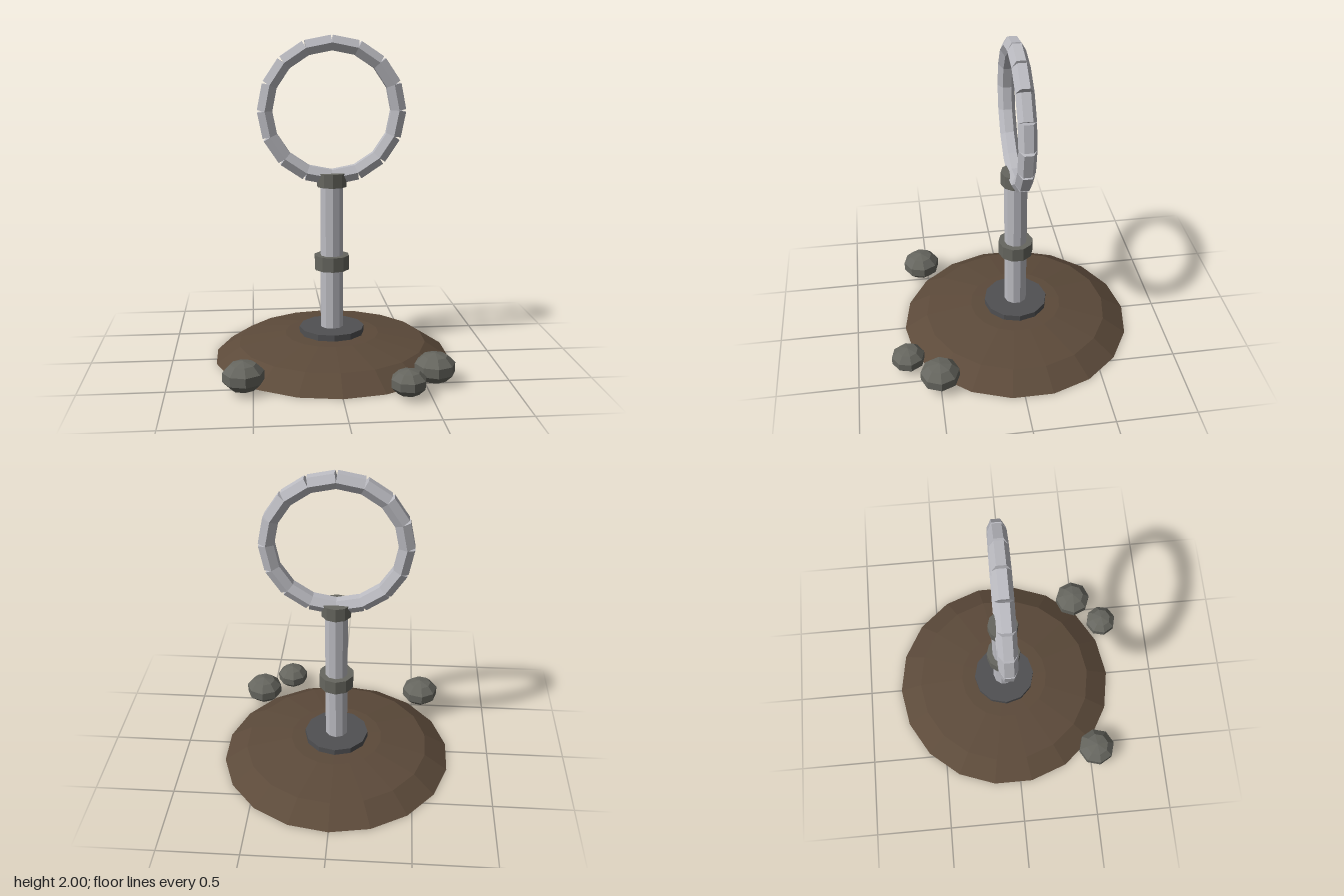
import * as THREE from 'three';

const mat = (name, color) => {
  const m = new THREE.MeshStandardMaterial({ color, flatShading: true });
  m.name = name;
  return m;
};

export function createModel() {
  const model = new THREE.Group();
  model.name = 'ringOnPost';
  const soil = mat('soil brown', 0x5c4a3a);
  const silver = mat('pale silver', 0xbcbcc2);
  const stone = mat('stone grey', 0x66665f);
  const iron = mat('dark iron', 0x505052);

  const add = (name, geometry, material, x, y, z, parent = model) => {
    const mesh = new THREE.Mesh(geometry, material);
    mesh.name = name;
    mesh.position.set(x, y, z);
    parent.add(mesh);
    return mesh;
  };
  const axisZ = -0.05; // the post stands slightly behind the centre

  // upright prism between two heights
  const prism = (name, r, y0, y1, sides, material) =>
    add(name, new THREE.CylinderGeometry(r, r, y1 - y0, sides), material, 0, (y0 + y1) / 2, axisZ);

  // low earth mound, closed underneath
  const profile = [[0, 0], [0.737, 0], [0.59, 0.095], [0.295, 0.145], [0, 0.15]]
    .map(([r, y]) => new THREE.Vector2(r, y));
  add('mound', new THREE.LatheGeometry(profile, 18), soil, 0, 0, axisZ);

  // post with base plate and two collars
  prism('basePlate', 0.204, 0.14, 0.185, 12, iron);
  prism('post', 0.072, 0.15, 1.12, 10, silver);
  prism('middleCollar', 0.11, 0.558, 0.648, 10, stone);
  prism('topCollar', 0.093, 1.08, 1.165, 10, stone);

  // upright ring made of short hexagonal bars
  const ring = new THREE.Group();
  ring.name = 'ring';
  ring.position.set(0, 1.547, axisZ);
  model.add(ring);
  const bar = new THREE.CylinderGeometry(0.053, 0.053, 0.16, 6);
  const count = 16, ringRadius = 0.4;
  for (let i = 0; i < count; i++) {
    const a = ((i + 0.5) / count) * Math.PI * 2;
    const mesh = add('ringBar', bar, silver, Math.cos(a) * ringRadius, Math.sin(a) * ringRadius, 0, ring);
    mesh.rotation.z = a;
  }

  // squat boulders at the front edge: x, y, z, radius, turn
  const boulders = [
    [-0.555, 0.098, 0.54, 0.126, 0.12],
    [0.555, 0.098, 0.5, 0.126, 0],
    [0.37, 0.087, 0.685, 0.108, 0.15],
  ];
  for (const [x, y, z, r, turn] of boulders) {
    const rock = add('boulder', new THREE.SphereGeometry(r, 8, 5), stone, x, y, z);
    rock.scale.y = 0.71;
    rock.rotation.y = turn;
  }
  return model;
}
